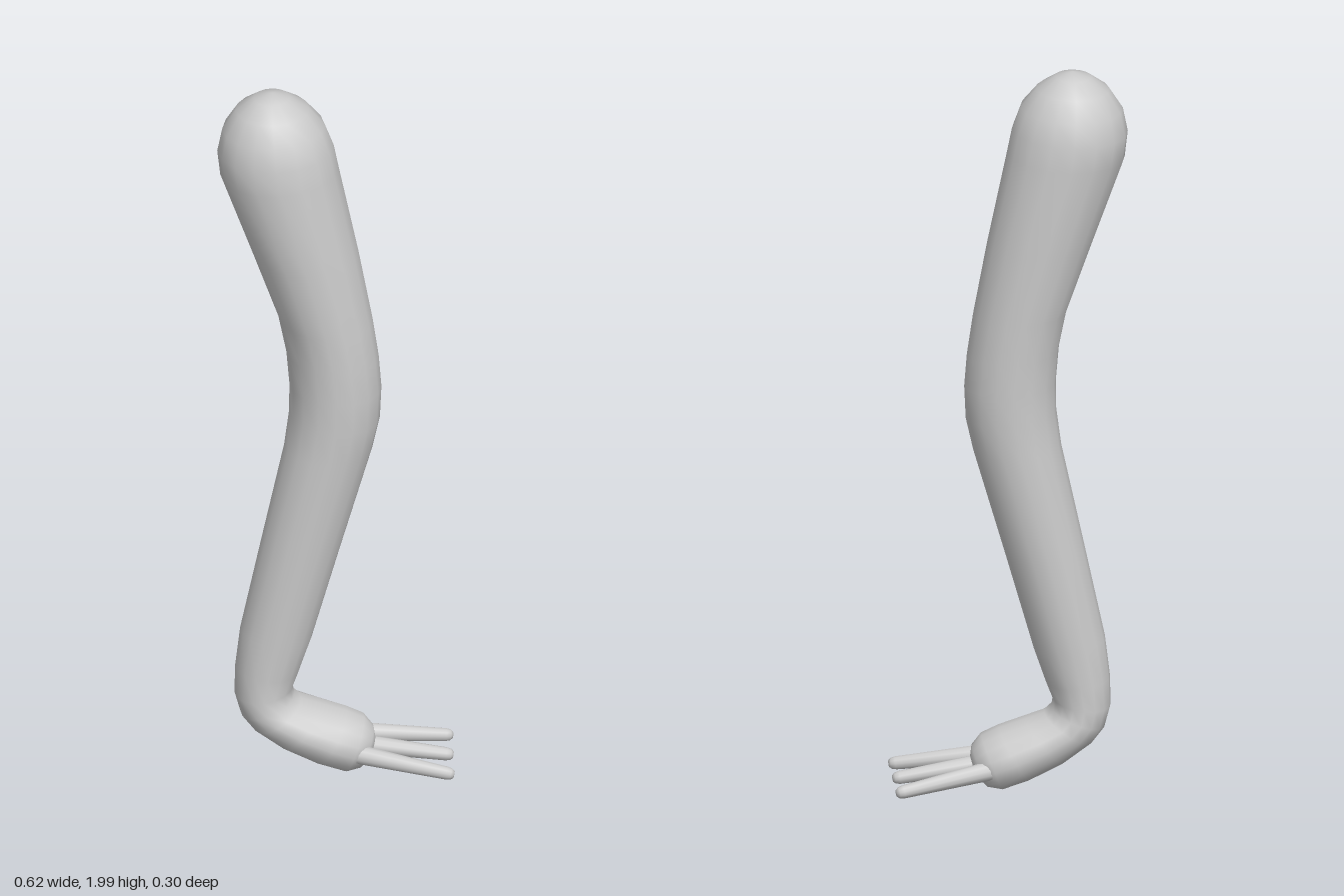
import * as THREE from 'three';

const material = new THREE.MeshStandardMaterial({ color: 0xcccccc });
const SIDES = 16;

// Cross-sections from shoulder to foot: back edge x,y, front edge x,y, half depth in z
const SECTIONS = [
  [-0.215, 1.985, -0.12, 1.988, 0.05],
  [-0.262, 1.95, -0.07, 1.955, 0.1],
  [-0.297, 1.895, -0.028, 1.905, 0.135],
  [-0.31, 1.83, -0.005, 1.845, 0.148],
  [-0.302, 1.76, 0.008, 1.78, 0.152],
  [-0.218, 1.53, 0.06, 1.53, 0.142],
  [-0.15, 1.34, 0.097, 1.33, 0.133],
  [-0.129, 1.235, 0.113, 1.22, 0.128],
  [-0.121, 1.14, 0.12, 1.13, 0.125],
  [-0.122, 1.06, 0.116, 1.04, 0.122],
  [-0.135, 0.96, 0.096, 0.95, 0.118],
  [-0.195, 0.68, 0.01, 0.65, 0.107],
  [-0.25, 0.42, -0.063, 0.39, 0.097],
  [-0.263, 0.31, -0.095, 0.295, 0.093],
  [-0.265, 0.23, -0.112, 0.25, 0.092],
  [-0.25, 0.175, -0.108, 0.225, 0.097],
  [-0.215, 0.13, -0.09, 0.209, 0.1],
  [-0.14, 0.075, -0.04, 0.193, 0.104],
  [-0.05, 0.03, 0.03, 0.17, 0.105],
  [0.02, 0.006, 0.075, 0.15, 0.098],
  [0.06, 0.012, 0.1, 0.12, 0.07],
  [0.086, 0.038, 0.104, 0.092, 0.033],
];

// Closed skin over the cross-sections, with a single vertex at each end
function limbGeometry(sections, start, end) {
  const positions = [...start];
  const index = [];
  for (const [bx, by, fx, fy, depth] of sections) {
    for (let i = 0; i < SIDES; i++) {
      const a = (i / SIDES) * Math.PI * 2;
      const t = (1 + Math.cos(a)) / 2;
      positions.push(bx + (fx - bx) * t, by + (fy - by) * t, Math.sin(a) * depth);
    }
  }
  positions.push(...end);
  const last = positions.length / 3 - 1;
  const at = (ring, i) => 1 + ring * SIDES + (i % SIDES);
  for (let i = 0; i < SIDES; i++) {
    index.push(0, at(0, i + 1), at(0, i));
    for (let r = 0; r < sections.length - 1; r++) {
      index.push(at(r, i), at(r, i + 1), at(r + 1, i));
      index.push(at(r, i + 1), at(r + 1, i + 1), at(r + 1, i));
    }
    index.push(at(sections.length - 1, i), at(sections.length - 1, i + 1), last);
  }
  const geometry = new THREE.BufferGeometry();
  geometry.setAttribute('position', new THREE.Float32BufferAttribute(positions, 3));
  geometry.setIndex(index);
  geometry.computeVertexNormals();
  return geometry;
}

// Tapered toe with a rounded tip, running from one point to another
function makeToe(name, from, to) {
  const direction = to.clone().sub(from);
  const length = direction.length();
  const profile = [
    [0, 0], [0.026, 0], [0.0175, length - 0.02], [0.015, length - 0.008], [0.009, length - 0.001], [0, length],
  ].map(([r, y]) => new THREE.Vector2(r, y));
  const toe = new THREE.Mesh(new THREE.LatheGeometry(profile, 12), material);
  toe.name = name;
  toe.position.copy(from);
  toe.quaternion.setFromUnitVectors(new THREE.Vector3(0, 1, 0), direction.normalize());
  return toe;
}

export function createModel() {
  const model = new THREE.Group();
  model.name = 'leg';

  // Upper leg, knee, ankle and foot in one skin
  const limb = new THREE.Mesh(limbGeometry(SECTIONS, [-0.165, 2, 0], [0.1, 0.066, 0]), material);
  limb.name = 'legAndFoot';
  model.add(limb);

  // Three splayed toes
  [['rightToe', 1], ['middleToe', 0], ['leftToe', -1]].forEach(([name, side]) => {
    model.add(makeToe(
      name,
      new THREE.Vector3(0.05, 0.076, side * 0.063),
      new THREE.Vector3(0.309, 0.037, side * 0.112),
    ));
  });
  return model;
}
